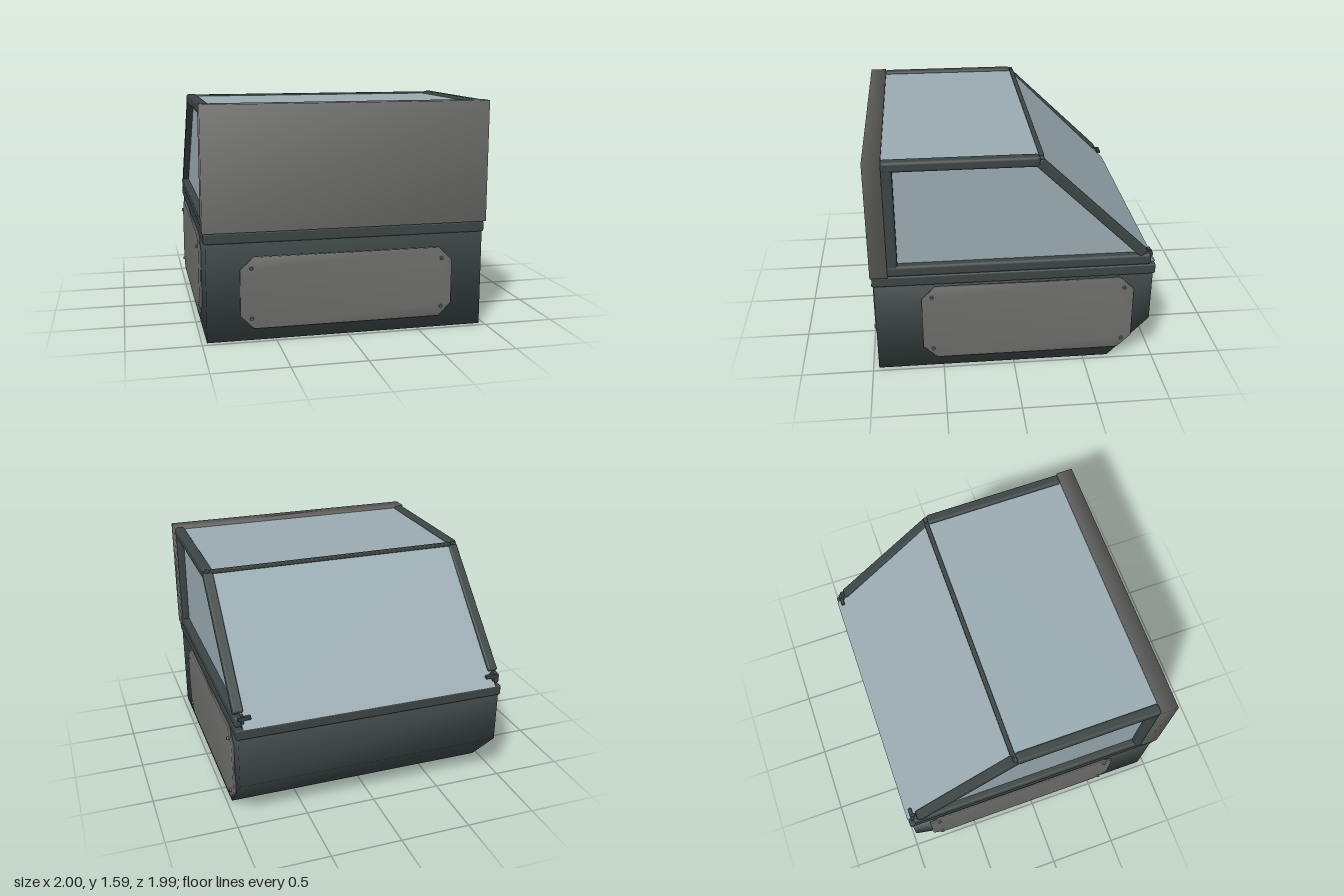
import * as THREE from 'three';
import { mergeVertices } from 'three/addons/utils/BufferGeometryUtils.js';
import { RoundedBoxGeometry } from 'three/addons/geometries/RoundedBoxGeometry.js';

const material = (name, color) => {
  const m = new THREE.MeshStandardMaterial({ color });
  m.name = name;
  return m;
};

// Share corner vertices so the normals blend softly over the edges
function smooth(geometry) {
  geometry.deleteAttribute('uv');
  geometry.deleteAttribute('normal');
  const merged = mergeVertices(geometry, 1e-4);
  merged.computeVertexNormals();
  return merged;
}

const extrude = (points, depth) => new THREE.ExtrudeGeometry(
  new THREE.Shape(points.map(p => new THREE.Vector2(...p))), { depth, bevelEnabled: false });

// Side profile of [z, y] points, extruded across the full width and centred on x
const acrossX = (points, width) =>
  extrude(points, width).rotateY(-Math.PI / 2).translate(width / 2, 0, 0);

// Rectangle with cut corners, centred on the origin, facing +z
function cutPlate(w, h, cut, depth) {
  const a = w / 2, b = h / 2;
  return smooth(extrude([
    [-a + cut, -b], [a - cut, -b], [a, -b + cut], [a, b - cut],
    [a - cut, b], [-a + cut, b], [-a, b - cut], [-a, -b + cut]], depth));
}

export function createModel() {
  const model = new THREE.Group();
  model.name = 'cabin';
  const dark = material('dark frame', 0x3c4545);
  const grey = material('grey panel', 0x6e6e6c);
  const glass = material('pale glass', 0x9aabb2);
  const steel = material('bolt steel', 0x5c6062);

  function add(name, geometry, mat, parent = model) {
    const mesh = new THREE.Mesh(geometry, mat);
    mesh.name = name;
    parent.add(mesh);
    return mesh;
  }
  // Soft-edged bar given by its extents on each axis
  function bar(name, [x0, x1], [y0, y1], [z0, z1], radius = 0.02) {
    const g = new RoundedBoxGeometry(x1 - x0, y1 - y0, z1 - z0, 2, radius);
    return add(name, g.translate((x0 + x1) / 2, (y0 + y1) / 2, (z0 + z1) / 2), dark);
  }

  // Lower body with the sloping back underside
  add('lowerBody', smooth(acrossX(
    [[-0.68, 0], [0.96, 0], [0.96, 0.68], [-0.97, 0.68], [-0.97, 0.3]], 1.93)), dark);
  bar('rim', [-0.977, 0.977], [0.67, 0.745], [-0.985, 0.97], 0.012);

  // Solid front panel and the glazed volume behind it
  add('frontPanel', smooth(new THREE.BoxGeometry(1.97, 0.84, 0.12).translate(0, 1.165, 0.92)), grey);
  add('glazing', acrossX(
    [[-0.99, 0.745], [0.87, 0.745], [0.87, 1.565], [-0.17, 1.565]], 1.86), glass);

  // Window frame on each side
  for (const [side, s] of [['left', 1], ['right', -1]]) {
    const span = (a, b) => s > 0 ? [a, b] : [-b, -a];
    bar(side + 'TopRail', span(0.905, 0.98), [1.512, 1.585], [-0.165, 0.865]);
    bar(side + 'BottomRail', span(0.91, 0.98), [0.745, 0.825], [-0.95, 0.865]);
    bar(side + 'FrontPost', span(0.905, 0.977), [0.78, 1.55], [0.79, 0.865]);

    // Slanted bar beside the windscreen
    const dz = -0.745, dy = -0.72;
    const slant = add(side + 'SlantBar',
      new RoundedBoxGeometry(0.07, 0.065, Math.hypot(dz, dy), 2, 0.012), dark);
    slant.position.set(s * 0.94, 1.185, -0.527);
    slant.rotation.x = -Math.atan2(dy, dz);

    // Small fittings at the ends of the slanted bar
    bar(side + 'Clip', span(0.865, 0.955), [0.8, 0.825], [-0.963, -0.936], 0.005);
    bar(side + 'ClipPost', span(0.915, 0.935), [0.745, 0.835], [-0.96, -0.925], 0.005);
    bar(side + 'TopKnuckle', span(0.93, 0.965), [1.555, 1.58], [-0.19, -0.16], 0.008);
  }
  bar('crossBar', [-0.92, 0.92], [1.55, 1.578], [-0.195, -0.163], 0.008);

  // Bolted cover plate, built facing +z
  function cover(name, w, h, cut, boltX, boltY) {
    const group = new THREE.Group();
    group.name = name;
    add('plate', cutPlate(w, h, cut, 0.025), grey, group);
    for (const [sx, x] of [[-1, boltX[0]], [1, boltX[1]]]) {
      for (const y of boltY) {
        const bolt = add('bolt', new THREE.CylinderGeometry(0.011, 0.014, 0.016, 8), steel, group);
        bolt.rotation.x = Math.PI / 2;
        bolt.position.set(sx * x, y, 0.031);
      }
    }
    model.add(group);
    return group;
  }
  cover('frontCover', 1.48, 0.49, 0.09, [0.665, 0.665], [-0.175, 0.17]).position.set(0, 0.33, 0.956);
  const left = cover('leftCover', 1.48, 0.57, 0.095, [0.67, 0.67], [-0.21, 0.21]);
  left.position.set(0.96, 0.365, -0.1);
  left.rotation.y = Math.PI / 2;
  const right = cover('rightCover', 1.48, 0.57, 0.095, [0.67, 0.67], [-0.21, 0.21]);
  right.position.set(-0.96, 0.365, -0.1);
  right.rotation.y = -Math.PI / 2;

  return model;
}
